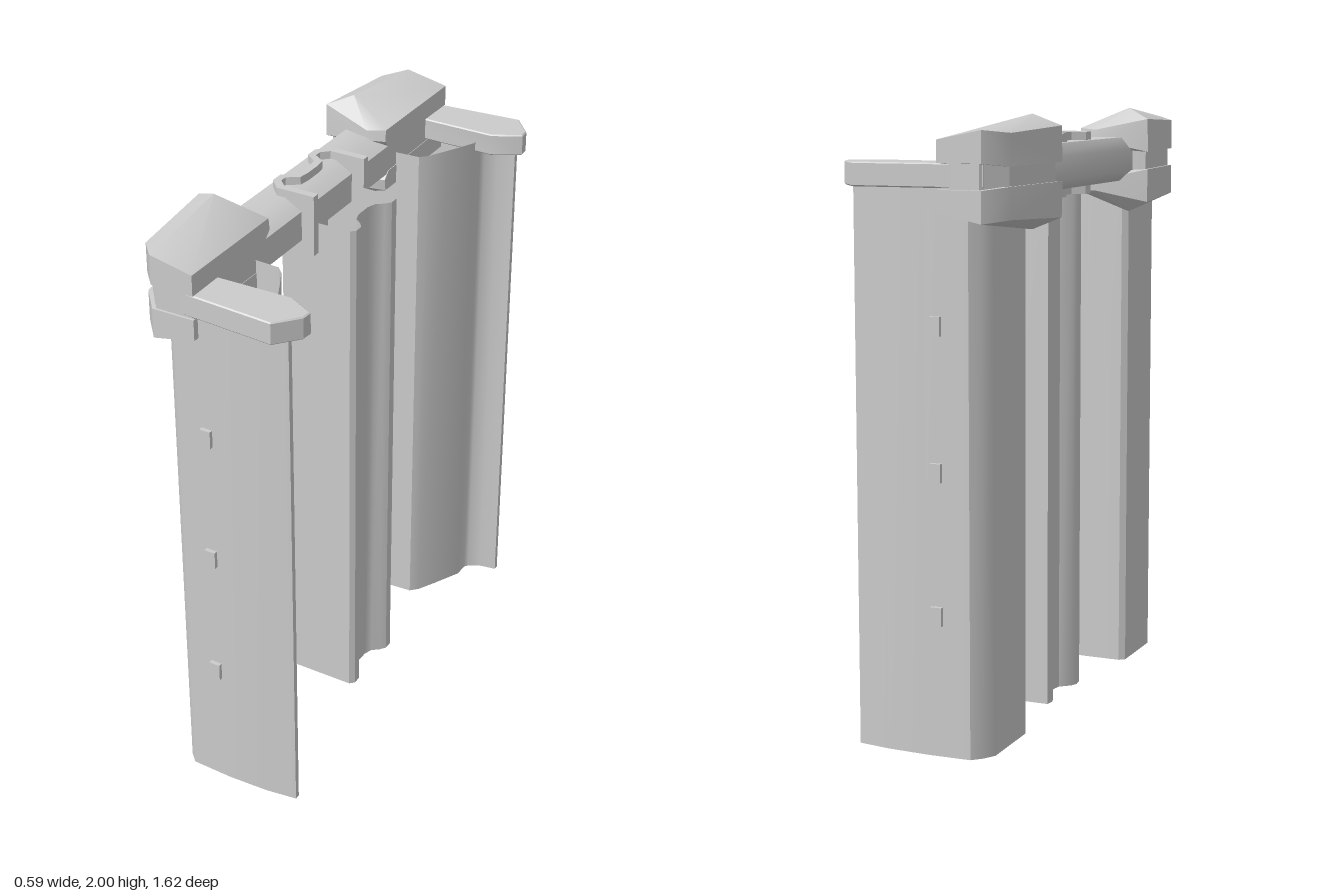
import * as THREE from 'three';
import { toCreasedNormals } from 'three/addons/utils/BufferGeometryUtils.js';
import { ConvexGeometry } from 'three/addons/geometries/ConvexGeometry.js';

const grey = new THREE.MeshStandardMaterial({ color: 0xcccccc, side: THREE.DoubleSide });
grey.name = 'light grey';

function add(parent, name, geometry) {
  const mesh = new THREE.Mesh(geometry, grey);
  mesh.name = name;
  parent.add(mesh);
  return mesh;
}

// Plan outline [x, z] raised from y0 to y1
function prism(plan, y0, y1, bevel = 0) {
  const shape = new THREE.Shape(plan.map(([x, z]) => new THREE.Vector2(x, -z)));
  const geo = new THREE.ExtrudeGeometry(shape, {
    depth: y1 - y0 - 2 * bevel, bevelEnabled: bevel > 0, bevelSize: bevel,
    bevelThickness: bevel, bevelOffset: -bevel, bevelSegments: 1,
  });
  return toCreasedNormals(geo.rotateX(-Math.PI / 2).translate(0, y0 + bevel, 0), 0.6);
}

// Thin closed wall following a plan outline, open at both ends
function openWall(plan, height) {
  const pos = [];
  plan.forEach(([x0, z0], i) => {
    const [x1, z1] = plan[(i + 1) % plan.length];
    pos.push(x0, 0, z0, x1, 0, z1, x1, height, z1, x0, 0, z0, x1, height, z1, x0, height, z0);
  });
  const geo = new THREE.BufferGeometry();
  geo.setAttribute('position', new THREE.Float32BufferAttribute(pos, 3));
  return toCreasedNormals(geo, 0.6);
}

// Half-outline plus its mirror image across z = 0
const mirrorZ = (half) => [...half, ...half.slice().reverse().map(([x, z]) => [x, -z])];

function corner(s) {
  const group = new THREE.Group();
  group.name = s > 0 ? 'frontCorner' : 'backCorner';
  const side = (pts) => pts.map(([x, z]) => [x, z * s]);

  // Hollow upright with a groove and a narrow lip at its outer end
  const section = side([
    [0.25, 0.755], [0.25, 0.737], [0.19, 0.727], [0.15, 0.705], [0.14, 0.69], [0.14, 0.64],
    [0.09, 0.54], [0.055, 0.475], [0.03, 0.45], [-0.05, 0.445], [-0.18, 0.445], [-0.2, 0.46],
    [-0.2, 0.70], [-0.176, 0.74], [-0.145, 0.77], [0, 0.775], [0.14, 0.77],
  ]);
  add(group, 'cornerPanel', openWall(s > 0 ? section : section.reverse(), 1.82));

  // Side arm capping the panel
  add(group, 'sideArm', prism(side([
    [-0.2, 0.655], [0.2, 0.65], [0.293, 0.70], [0.29, 0.735], [0.225, 0.812], [-0.05, 0.792], [-0.2, 0.78],
  ]), 1.785, 1.86, 0.004));

  // Core joining the upper and lower jaws
  add(group, 'cornerCore', prism(side([
    [-0.055, 0.385], [-0.12, 0.375], [-0.28, 0.41], [-0.255, 0.71], [-0.19, 0.788], [-0.055, 0.788],
  ]), 1.76, 1.88));

  // Wedge-shaped jaws, mirrored about the middle of the rail
  const jaw = [
    [-0.053, 1.86, 0.795], [-0.053, 1.93, 0.795], [-0.2, 1.86, 0.795], [-0.2, 1.96, 0.795],
    [-0.265, 1.85, 0.72], [-0.265, 1.95, 0.72], [-0.295, 1.85, 0.39], [-0.293, 1.963, 0.39],
    [-0.115, 1.89, 0.345], [-0.115, 1.925, 0.348], [-0.053, 1.89, 0.365], [-0.053, 1.93, 0.37],
    [-0.21, 2.0, 0.43], [-0.12, 1.865, 0.375], [-0.053, 1.865, 0.39],
  ];
  for (const [name, flip] of [['upperJaw', false], ['lowerJaw', true]]) {
    const pts = jaw.map(([x, y, z]) => new THREE.Vector3(x, flip ? 3.64 - y : y, z * s));
    add(group, name, toCreasedNormals(new ConvexGeometry(pts), 0.75));
  }

  // Small studs down the outer face
  for (const y of [0.455, 0.91, 1.365]) {
    add(group, 'stud', new THREE.BoxGeometry(0.038, 0.06, 0.03)).position.set(-0.036, y, 0.773 * s);
  }
  return group;
}

export function createModel() {
  const model = new THREE.Group();
  model.name = 'panelRack';
  model.add(corner(1), corner(-1));

  // Faceted cross rail
  const profile = [
    [-0.235, 1.86], [-0.205, 1.9], [-0.115, 1.9], [-0.055, 1.865],
    [-0.055, 1.765], [-0.1, 1.75], [-0.2, 1.75], [-0.235, 1.785],
  ].map(([x, y]) => new THREE.Vector2(x, y));
  const rail = new THREE.ExtrudeGeometry(new THREE.Shape(profile), { depth: 0.84, bevelEnabled: false });
  add(model, 'rail', toCreasedNormals(rail.translate(0, 0, -0.42), 0.8));

  // Grooved hollow centre panel
  add(model, 'centrePanel', openWall(mirrorZ([
    [-0.1, 0.03], [-0.105, 0.055], [-0.14, 0.085], [-0.15, 0.11], [-0.145, 0.145],
    [0.105, 0.145], [0.12, 0.13], [0.12, 0.1], [0.105, 0.08], [0.08, 0.06], [0.07, 0.03],
  ]), 1.825));

  // Bent clip gripping the rail
  const outer = [[-0.01, 0.172], [-0.145, 0.172], [-0.185, 0.13], [-0.185, 0.085], [-0.145, 0.055], [-0.14, 0.03]];
  const inner = [[-0.01, 0.145], [-0.135, 0.145], [-0.16, 0.12], [-0.16, 0.095], [-0.12, 0.068], [-0.115, 0.03]];
  const flipped = (pts) => pts.slice().reverse().map(([x, z]) => [x, -z]);
  add(model, 'clip', prism(
    [...outer, ...flipped(outer), ...flipped(inner).reverse(), ...inner.slice().reverse()], 1.72, 1.927));

  return model;
}
